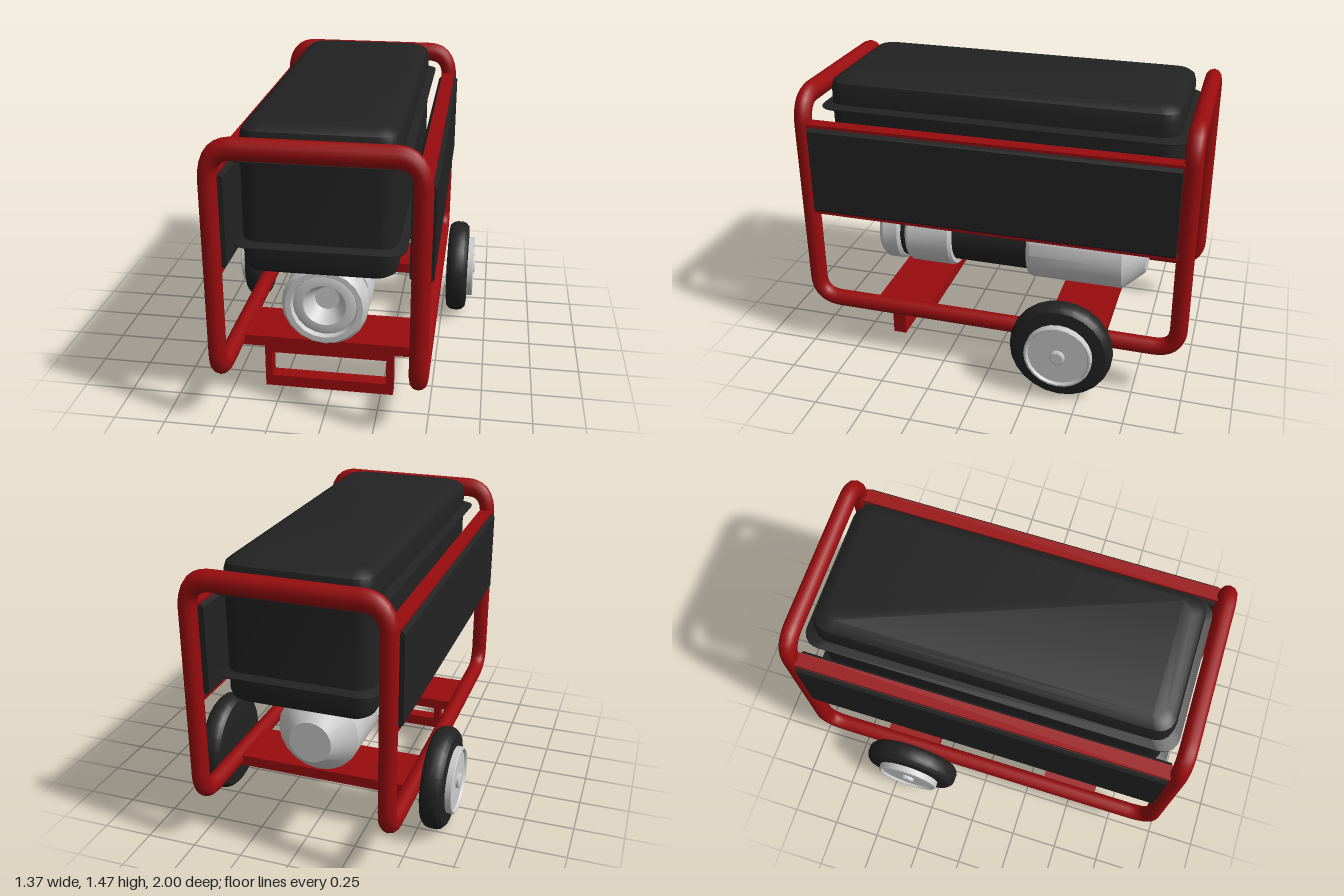
import * as THREE from 'three';
import { toCreasedNormals } from 'three/addons/utils/BufferGeometryUtils.js';

const mat = (color) => new THREE.MeshStandardMaterial({ color });
const RED = mat(0x990c0e), BLACK = mat(0x222222), GREY = mat(0xcccccc);
const V = (x, y, z) => new THREE.Vector3(x, y, z);
const CX = -0.01; // the body sits slightly off the centre line

function add(parent, name, geometry, material, x = 0, y = 0, z = 0) {
  const mesh = new THREE.Mesh(geometry, material);
  mesh.name = name;
  mesh.position.set(x, y, z);
  parent.add(mesh);
  return mesh;
}

// Lathe with crisp edges; points are [radius, height]
function lathe(points, segments) {
  const pts = points.map(([r, h]) => new THREE.Vector2(r, h));
  return toCreasedNormals(new THREE.LatheGeometry(pts, segments), 0.5);
}

// One closed tube path with rounded corners
function roundedLoop(corners, radius) {
  const path = new THREE.CurvePath();
  const n = corners.length;
  const toward = (a, b) => a.clone().add(b.clone().sub(a).setLength(radius));
  for (let i = 0; i < n; i++) {
    const prev = corners[(i + n - 1) % n], c = corners[i], next = corners[(i + 1) % n];
    path.add(new THREE.QuadraticBezierCurve3(toward(c, prev), c, toward(c, next)));
    path.add(new THREE.LineCurve3(toward(c, next), toward(next, c)));
  }
  return path;
}

// Rounded-rectangle cross-sections stacked in y; rings are [y, outset]
function loftBox(halfX, halfZ, corner, rings) {
  const pos = [], index = [], steps = 5, n = 4 * (steps + 1);
  for (const [y, o] of rings) {
    const r = corner + Math.min(o, 0) * 0.5;
    for (let q = 0; q < 4; q++) {
      const sx = q === 0 || q === 3 ? 1 : -1, sz = q < 2 ? 1 : -1;
      for (let i = 0; i <= steps; i++) {
        const a = (q + i / steps) * Math.PI / 2;
        pos.push(sx * (halfX + o - r) + r * Math.cos(a), y, sz * (halfZ + o - r) + r * Math.sin(a));
      }
    }
  }
  for (let k = 0; k < rings.length - 1; k++) {
    for (let i = 0; i < n; i++) {
      const a = k * n + i, b = k * n + (i + 1) % n;
      index.push(a, a + n, b, b, a + n, b + n);
    }
  }
  const top = (rings.length - 1) * n;
  for (let i = 1; i < n - 1; i++) {
    index.push(0, i, i + 1, top, top + i + 1, top + i);
  }
  const g = new THREE.BufferGeometry();
  g.setAttribute('position', new THREE.Float32BufferAttribute(pos, 3));
  g.setIndex(index);
  return toCreasedNormals(g, 0.6);
}

function makeFrame() {
  const frame = new THREE.Group();
  frame.name = 'frame';
  const x = 0.467, z = 0.957, hi = 1.39, lo = 0.272;
  const loop = roundedLoop([
    V(x, hi, z), V(x, lo, z), V(x, lo, -z), V(x, hi, -z),
    V(-x, hi, -z), V(-x, lo, -z), V(-x, lo, z), V(-x, hi, z),
  ], 0.12);
  const tube = new THREE.TubeGeometry(loop, 400, 0.043, 12, true);
  // the handles are a little taller than the rest of the tube
  const p = tube.attributes.position;
  for (let i = 0; i < p.count; i++) {
    const y = p.getY(i);
    p.setY(i, y + (y - hi) * 0.25 * THREE.MathUtils.smoothstep(y, 1.2, 1.33));
  }
  add(frame, 'tubeFrame', tube, RED, CX);

  // floor plates between the lower rails
  add(frame, 'frontFloorPlate', new THREE.BoxGeometry(0.92, 0.055, 0.295), RED, CX, 0.268, 0.483);
  add(frame, 'rearFloorPlate', new THREE.BoxGeometry(0.92, 0.055, 0.3), RED, CX, 0.268, -0.44);

  // front stand: an upright rectangle with an opening
  const outline = new THREE.Shape([[-0.325, 0], [0.325, 0], [0.325, 0.245], [-0.325, 0.245]]
    .map(([a, b]) => new THREE.Vector2(a, b)));
  outline.holes.push(new THREE.Path([[-0.29, 0.06], [-0.29, 0.195], [0.29, 0.195], [0.29, 0.06]]
    .map(([a, b]) => new THREE.Vector2(a, b))));
  add(frame, 'frontStand', new THREE.ExtrudeGeometry(outline, { depth: 0.07, bevelEnabled: false }),
    RED, -0.015, 0, 0.54);
  return frame;
}

// Side panel: black slab with slightly rounded long edges and red rails
function makePanel(side) {
  const panel = new THREE.Group();
  panel.name = side > 0 ? 'leftPanel' : 'rightPanel';
  panel.position.set(CX + side * 0.467, 0, 0);
  const w = 0.054, lo = 0.8, hi = 1.255, b = 0.015;
  const section = new THREE.Shape([
    [-w + b, lo], [w - b, lo], [w, lo + b], [w, hi - b],
    [w - b, hi], [-w + b, hi], [-w, hi - b], [-w, lo + b],
  ].map(([x, y]) => new THREE.Vector2(x, y)));
  add(panel, 'panelBoard', new THREE.ExtrudeGeometry(section, { depth: 1.83, bevelEnabled: false }),
    BLACK, 0, 0, -0.915);
  for (const y of [0.796, 1.258]) {
    add(panel, 'panelRail', new THREE.BoxGeometry(0.07, 0.024, 1.85), RED, 0, y, 0);
  }
  return panel;
}

// Generator unit lying along z, built as a row of lathed sections
function makeEngine() {
  const engine = new THREE.Group();
  engine.name = 'engine';
  engine.position.set(-0.017, 0.53, 0);
  engine.rotation.x = Math.PI / 2;
  const section = (name, points, material) => add(engine, name, lathe(points, 20), material);
  section('rearHousing', [[0, -0.73], [0.108, -0.73], [0.208, -0.62], [0.21, -0.605],
    [0.21, -0.13], [0.2, -0.11], [0, -0.11]], GREY);
  section('middleCore', [[0.175, -0.12], [0.175, 0.32]], BLACK);
  section('frontHousing', [[0, 0.31], [0.2, 0.31], [0.21, 0.325], [0.21, 0.555], [0.2, 0.57], [0, 0.57]], GREY);
  section('housingGroove', [[0.19, 0.565], [0.19, 0.605]], BLACK);
  section('frontCap', [[0, 0.6], [0.195, 0.6], [0.21, 0.615], [0.21, 0.695], [0.19, 0.72], [0.163, 0.72],
    [0.155, 0.695], [0.145, 0.7], [0.105, 0.7], [0.1, 0.69], [0.06, 0.62], [0, 0.62]], GREY);
  return engine;
}

function makeWheel(side) {
  const wheel = new THREE.Group();
  wheel.name = side > 0 ? 'leftWheel' : 'rightWheel';
  wheel.position.set(-0.005 + side * 0.585, 0.259, -0.4);
  wheel.rotation.z = -side * Math.PI / 2; // local +y points outward
  add(wheel, 'tyre', lathe([[0, -0.058], [0.2, -0.058], [0.235, -0.053], [0.253, -0.035], [0.259, -0.015],
    [0.259, 0.015], [0.253, 0.035], [0.235, 0.053], [0.2, 0.058], [0, 0.058]], 24), BLACK);
  add(wheel, 'hub', lathe([[0.17, 0.05], [0.17, 0.088], [0.165, 0.092], [0.158, 0.092],
    [0.15, 0.08], [0, 0.08]], 24), GREY);
  add(wheel, 'hubCap', lathe([[0.038, 0.075], [0.038, 0.094], [0.03, 0.099], [0, 0.099]], 14), GREY);
  return wheel;
}

export function createModel() {
  const model = new THREE.Group();
  model.name = 'portableGenerator';
  model.add(makeFrame(), makeEngine());

  // fuel tank with two pointed seams
  const tank = loftBox(0.357, 0.877, 0.085, [
    [0.755, -0.065], [0.765, -0.035], [0.785, -0.01], [0.82, 0], [0.893, 0], [0.907, 0.04], [0.912, 0.04],
    [0.926, 0], [1.298, 0], [1.312, 0.04], [1.317, 0.04], [1.331, 0], [1.405, 0], [1.44, -0.01],
    [1.46, -0.035], [1.47, -0.065],
  ]);
  add(model, 'fuelTank', tank, BLACK, -0.013, 0, -0.002);

  for (const side of [1, -1]) model.add(makePanel(side), makeWheel(side));
  return model;
}
